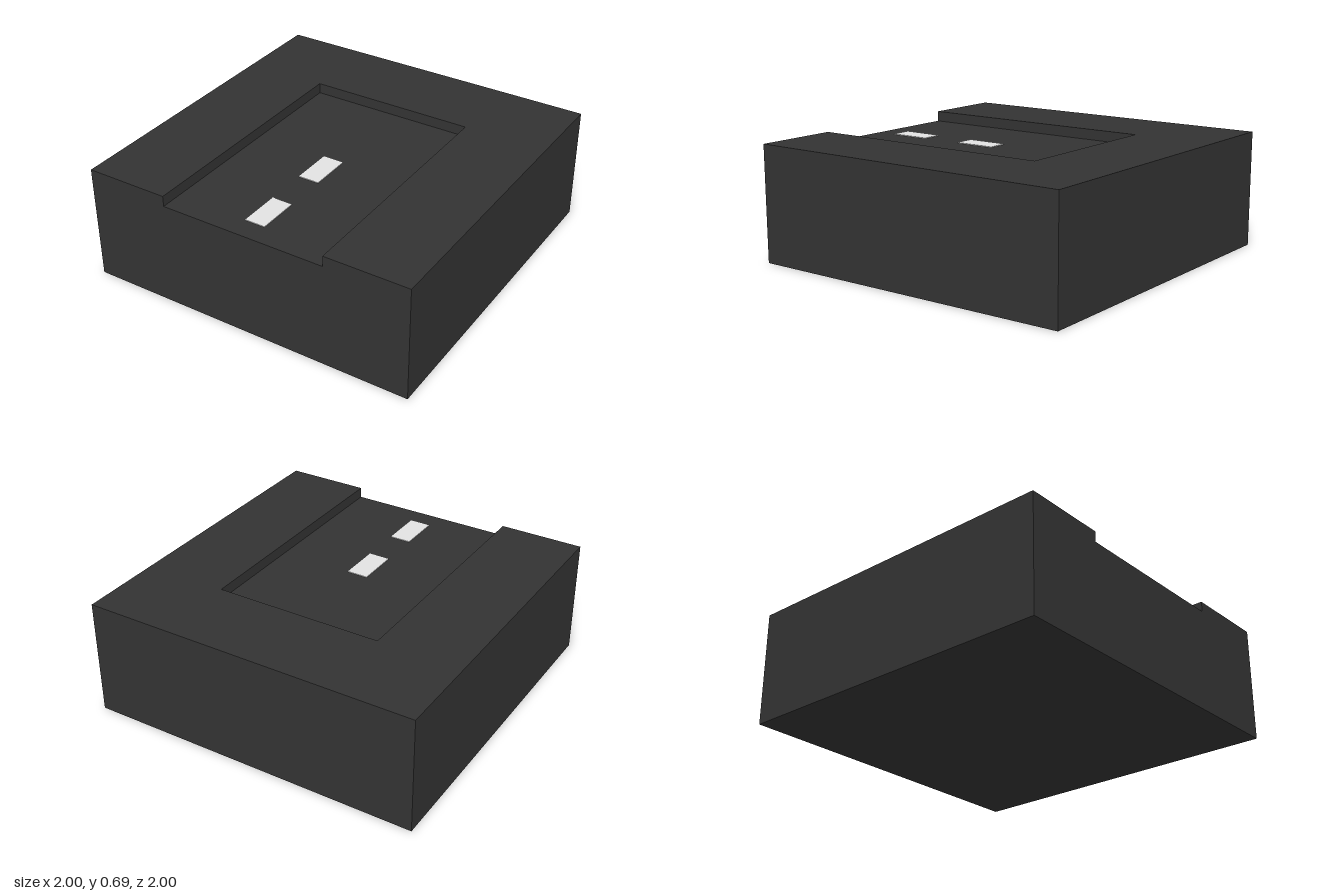
import * as THREE from 'three';

const FLOOR = 0.625, TOP = 0.6875;

export function createModel() {
  const model = new THREE.Group();
  model.name = 'roadEndTile';

  const asphalt = new THREE.MeshStandardMaterial({ color: 0x333333 });
  asphalt.name = 'dark asphalt';
  const paint = new THREE.MeshStandardMaterial({ color: 0xe2e2e2 });
  paint.name = 'light road paint';

  const add = (name, geometry, material, x, y, z) => {
    const mesh = new THREE.Mesh(geometry, material);
    mesh.name = name;
    mesh.position.set(x, y, z);
    model.add(mesh);
  };

  // Solid block up to the sunken road surface
  add('baseBlock', new THREE.BoxGeometry(2, FLOOR, 2), asphalt, 0, FLOOR / 2, 0);

  // Raised U-shaped border, open towards the front
  const outline = new THREE.Shape([
    [-1, -1], [-0.5, -1], [-0.5, 0.5], [0.5, 0.5],
    [0.5, -1], [1, -1], [1, 1], [-1, 1],
  ].map(([x, y]) => new THREE.Vector2(x, y)));
  const border = new THREE.ExtrudeGeometry(outline, { depth: TOP - FLOOR, bevelEnabled: false });
  border.rotateX(-Math.PI / 2);
  add('raisedBorder', border, asphalt, 0, FLOOR, 0);

  // Two painted dashes along the centre line
  for (const z of [0.25, 0.75]) {
    add('laneDash', new THREE.BoxGeometry(0.125, 0.004, 0.25), paint, 0, FLOOR + 0.002, z);
  }

  return model;
}
